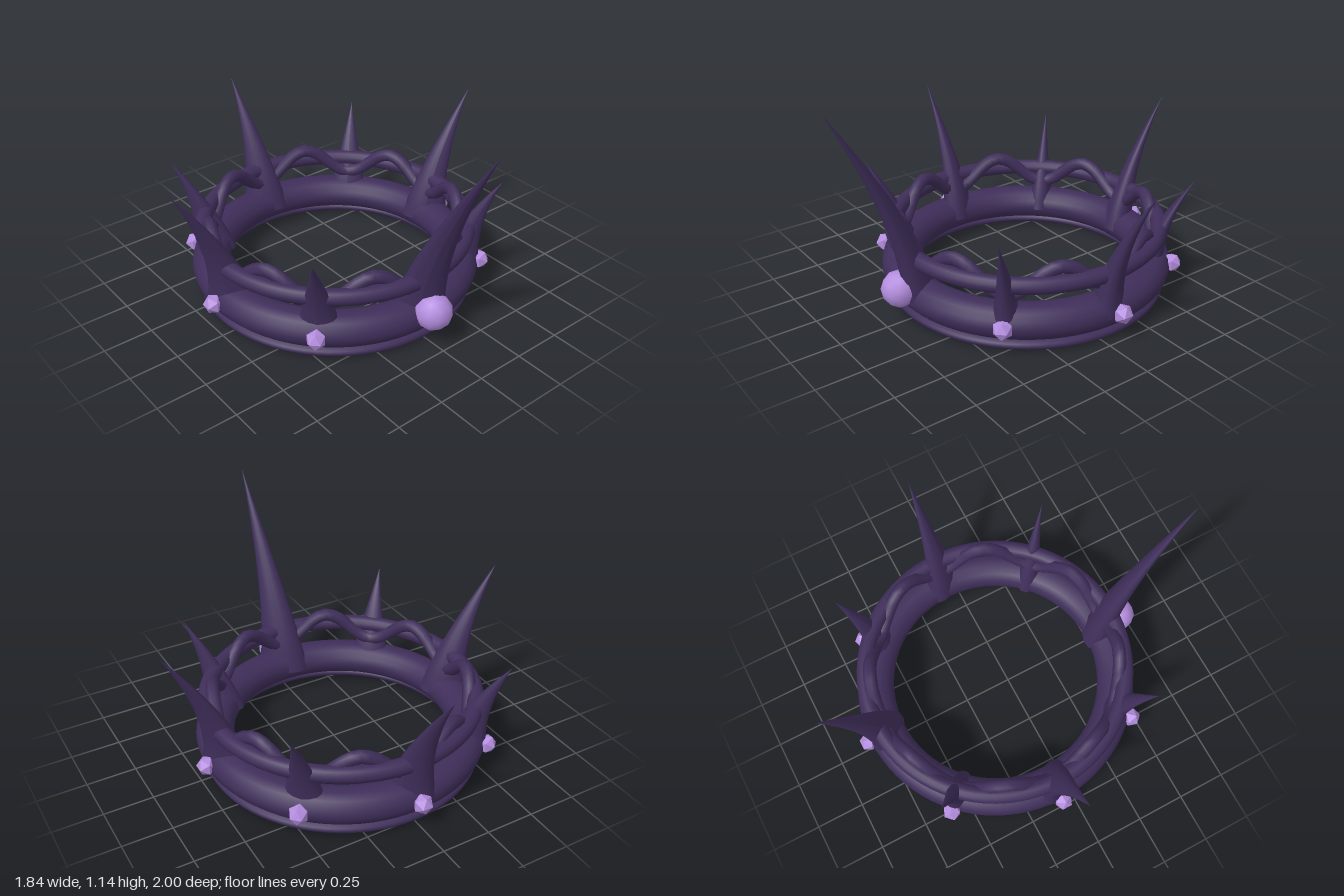
import * as THREE from 'three';

export function createModel() {
  const model = new THREE.Group();
  model.name = 'thornCrown';
  const crown = new THREE.Group();
  crown.name = 'crown';
  crown.position.z = -0.075;
  model.add(crown);

  const dark = new THREE.MeshStandardMaterial({ color: 0x3f2e5a });
  dark.name = 'darkPurple';
  const lilac = new THREE.MeshStandardMaterial({ color: 0xb58ee0 });
  lilac.name = 'lilacGem';

  function add(name, geometry, material) {
    const mesh = new THREE.Mesh(geometry, material);
    mesh.name = name;
    crown.add(mesh);
    return mesh;
  }

  // Ring with an elliptical section: radius, height, half width, half height
  function ring(name, radius, y, halfWidth, halfHeight) {
    const g = new THREE.TorusGeometry(radius, halfWidth, 14, 80);
    g.rotateX(Math.PI / 2);
    g.scale(1, halfHeight / halfWidth, 1);
    g.translate(0, y, 0);
    add(name, g, dark);
  }
  ring('band', 0.64, 0.135, 0.097, 0.086);
  ring('lowerRim', 0.66, 0.029, 0.047, 0.029);
  ring('upperRail', 0.672, 0.335, 0.042, 0.041);

  // Vine that arches between the spikes, just inside the rail
  const vinePoints = [];
  for (let i = 0; i < 64; i++) {
    const a = (i / 64) * Math.PI * 2;
    const y = 0.335 - 0.07 * Math.cos(8 * a);
    vinePoints.push(new THREE.Vector3(0.638 * Math.sin(a), y, 0.638 * Math.cos(a)));
  }
  const vine = new THREE.CatmullRomCurve3(vinePoints, true);
  add('wavyVine', new THREE.TubeGeometry(vine, 128, 0.034, 8, true), dark);

  // Curved horn: a cone bent along a curve, its oval section set diagonally
  function spike(name, angle, s) {
    const dir = new THREE.Vector3(Math.sin(angle), 0, Math.cos(angle));
    const at = (r, y) => dir.clone().multiplyScalar(r).setY(y);
    const path = new THREE.QuadraticBezierCurve3(
      at(0.635, 0.13), at(s.midR, s.midY), at(s.tipR, s.tipY));
    const g = new THREE.CylinderGeometry(0, 1, 1, 14, 14);
    const p = g.attributes.position;
    const c = Math.SQRT1_2;
    for (let i = 0; i < p.count; i++) {
      const centre = path.getPoint(p.getY(i) + 0.5);
      const u = p.getX(i) * s.long, v = p.getZ(i) * s.short;
      p.setXYZ(i, centre.x + (u - v) * c, centre.y, centre.z + (u + v) * c);
    }
    g.computeVertexNormals();
    add(name, g, dark);
  }

  const front = { midR: 0.68, midY: 0.5, tipR: 1.075, tipY: 1.14, long: 0.137, short: 0.085 };
  const main = { midR: 0.65, midY: 0.4, tipR: 0.922, tipY: 0.805, long: 0.125, short: 0.08 };
  const small = { midR: 0.66, midY: 0.35, tipR: 0.832, tipY: 0.605, long: 0.11, short: 0.068 };

  for (let i = 0; i < 8; i++) {
    const angle = (i * Math.PI) / 4;
    const kind = i === 0 ? front : i % 2 ? small : main;
    const label = i === 0 ? 'frontSpike' : i % 2 ? 'smallSpike' : 'mainSpike';
    spike(label + (i || ''), angle, kind);

    // Gem on the outside of the band below each spike
    const big = i === 0;
    const g = new THREE.IcosahedronGeometry(big ? 0.092 : 0.05, big ? 1 : 0);
    g.rotateZ(Math.PI / 2);
    const gem = add(big ? 'frontGem' : 'smallGem' + i, g, lilac);
    gem.position.set(0.746 * Math.sin(angle), big ? 0.187 : 0.145, 0.746 * Math.cos(angle));
    gem.rotation.y = angle;
  }
  return model;
}
